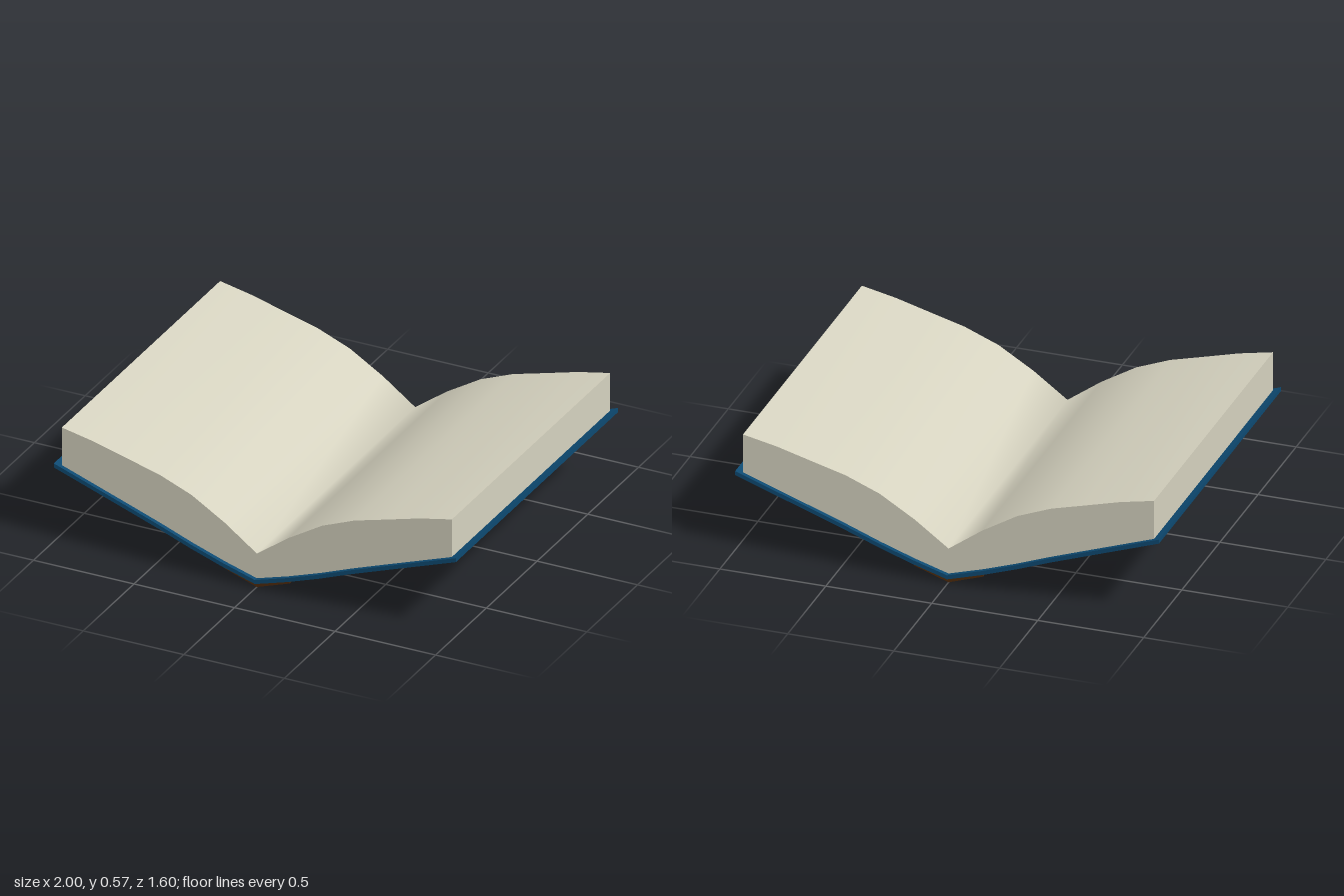
import * as THREE from 'three';
import { toCreasedNormals } from 'three/addons/utils/BufferGeometryUtils.js';

const paper = new THREE.MeshStandardMaterial({ color: 0xd6d3c0 });
const cloth = new THREE.MeshStandardMaterial({ color: 0x0d4a72 });
const leather = new THREE.MeshStandardMaterial({ color: 0x4f2a0a });

// Mirrors a half profile, listed from x = 0 outwards, to the full width
const mirror = (half) => [...half.slice(1).reverse().map(([x, y]) => [-x, y]), ...half];

// Extrudes the area between a lower and an upper half profile, centred on z = 0
function slab(name, lower, upper, depth, material, crease) {
  const outline = [...mirror(lower), ...mirror(upper).reverse()];
  const shape = new THREE.Shape(outline.map(([x, y]) => new THREE.Vector2(x, y)));
  const geometry = new THREE.ExtrudeGeometry(shape, { depth, bevelEnabled: false });
  geometry.translate(0, 0, -depth / 2);
  const mesh = new THREE.Mesh(toCreasedNormals(geometry, crease), material);
  mesh.name = name;
  return mesh;
}

const drop = (profile, d) => profile.map(([x, y]) => [x, y - d]);

export function createModel() {
  const book = new THREE.Group();
  book.name = 'openBook';

  // Cover: a thin, slightly bent board
  const coverTop = [[0, 0.044], [0.16, 0.092], [0.32, 0.147], [0.48, 0.208], [0.64, 0.265], [0.81, 0.325], [1, 0.392]];
  book.add(slab('cover', drop(coverTop, 0.02), coverTop, 1.6, cloth, 0.5));

  // Page block: curves up from the gutter; its underside rests in the cover
  const pagesTop = [[0, 0.168], [0.16, 0.285], [0.325, 0.385], [0.485, 0.449], [0.645, 0.492], [0.81, 0.537], [0.97, 0.57]];
  const pagesBottom = [...drop(coverTop.slice(0, -1), 0.005), [0.955, 0.371], [0.97, 0.371]];
  book.add(slab('pages', pagesBottom, pagesTop, 1.56, paper, 1.3));

  // Spine strip under the fold
  const spineTop = [[0, 0.028], [0.163, 0.077]];
  const spineBottom = [[0, 0], [0.163, 0.056]];
  book.add(slab('spine', spineBottom, spineTop, 1.56, leather, 0.5));

  return book;
}
